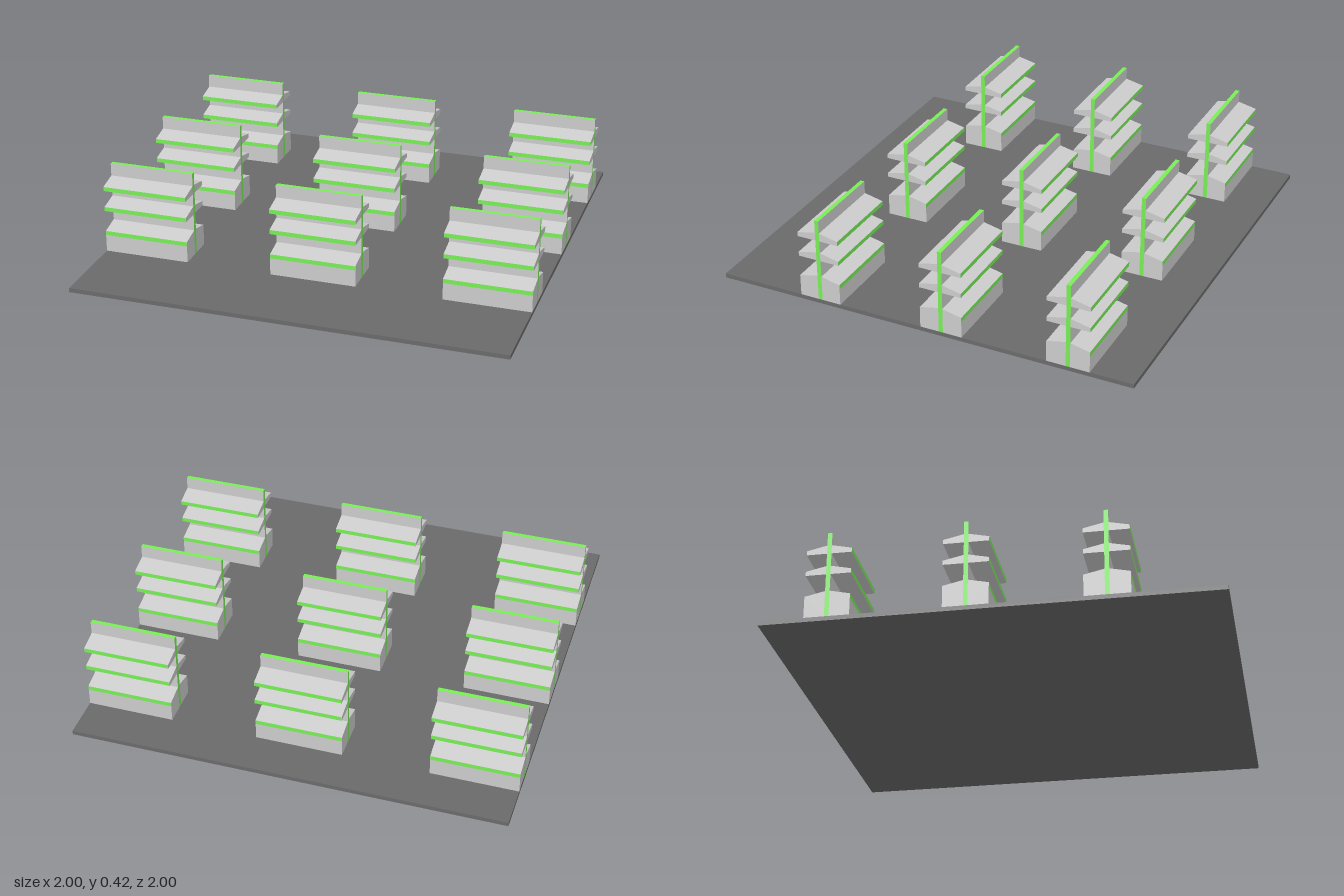
import * as THREE from 'three';

const grey = new THREE.MeshStandardMaterial({ color: 0xcccccc, flatShading: true });
const green = new THREE.MeshStandardMaterial({ color: 0x77ee55, flatShading: true });
const dark = new THREE.MeshStandardMaterial({ color: 0x6a6a6a, flatShading: true });

const WIDTH = 0.4, DEPTH = 0.1, PANEL = 0.01, TOP = 0.42, FLOOR = 0.02;

function addMesh(parent, name, geometry, material) {
  const mesh = new THREE.Mesh(geometry, material);
  mesh.name = name;
  parent.add(mesh);
  return mesh;
}

// Sloped-top block on one side of the panel, extruded along x
function slopedBlock(bottom, edge, peak) {
  const shape = new THREE.Shape([
    new THREE.Vector2(PANEL, bottom),
    new THREE.Vector2(DEPTH, bottom),
    new THREE.Vector2(DEPTH, edge),
    new THREE.Vector2(PANEL, peak),
  ]);
  return new THREE.ExtrudeGeometry(shape, { depth: WIDTH, bevelEnabled: false })
    .rotateY(-Math.PI / 2)
    .translate(WIDTH / 2, 0, 0);
}

// Green price strip along the front edge of a shelf
const stripGeometry = (edge) =>
  new THREE.PlaneGeometry(WIDTH, 0.02).translate(0, edge - 0.01, DEPTH + 0.0005);

const tiers = [
  { name: 'base', bottom: FLOOR, edge: 0.12 },
  { name: 'lowerShelf', bottom: 0.22, edge: 0.24 },
  { name: 'upperShelf', bottom: 0.32, edge: 0.34 },
].map((t) => ({
  name: t.name,
  block: slopedBlock(t.bottom, t.edge, t.edge + 0.02),
  strip: stripGeometry(t.edge),
}));

const panelGeometry = new THREE.BoxGeometry(WIDTH, TOP - FLOOR, PANEL * 2)
  .translate(0, (TOP + FLOOR) / 2, 0);

// Double-sided shelf unit: centre panel with mirrored tiers
function shelfUnit() {
  const unit = new THREE.Group();
  unit.name = 'shelfUnit';
  // Green ends and top, grey faces
  addMesh(unit, 'centrePanel', panelGeometry, [green, green, green, green, grey, grey]);
  for (const turn of [0, Math.PI]) {
    const side = new THREE.Group();
    side.name = turn ? 'backShelves' : 'frontShelves';
    side.rotation.y = turn;
    for (const { name, block, strip } of tiers) {
      addMesh(side, name, block, grey);
      addMesh(side, name + 'Strip', strip, green);
    }
    unit.add(side);
  }
  return unit;
}

export function createModel() {
  const model = new THREE.Group();
  model.name = 'shelfDisplay';

  addMesh(model, 'floor', new THREE.BoxGeometry(2, FLOOR, 2).translate(0, FLOOR / 2, 0), dark);

  // Three by three grid of units
  for (const z of [0.5, -0.1, -0.7]) {
    for (const x of [-0.8, 0, 0.8]) {
      const unit = shelfUnit();
      unit.position.set(x, 0, z);
      model.add(unit);
    }
  }
  return model;
}
